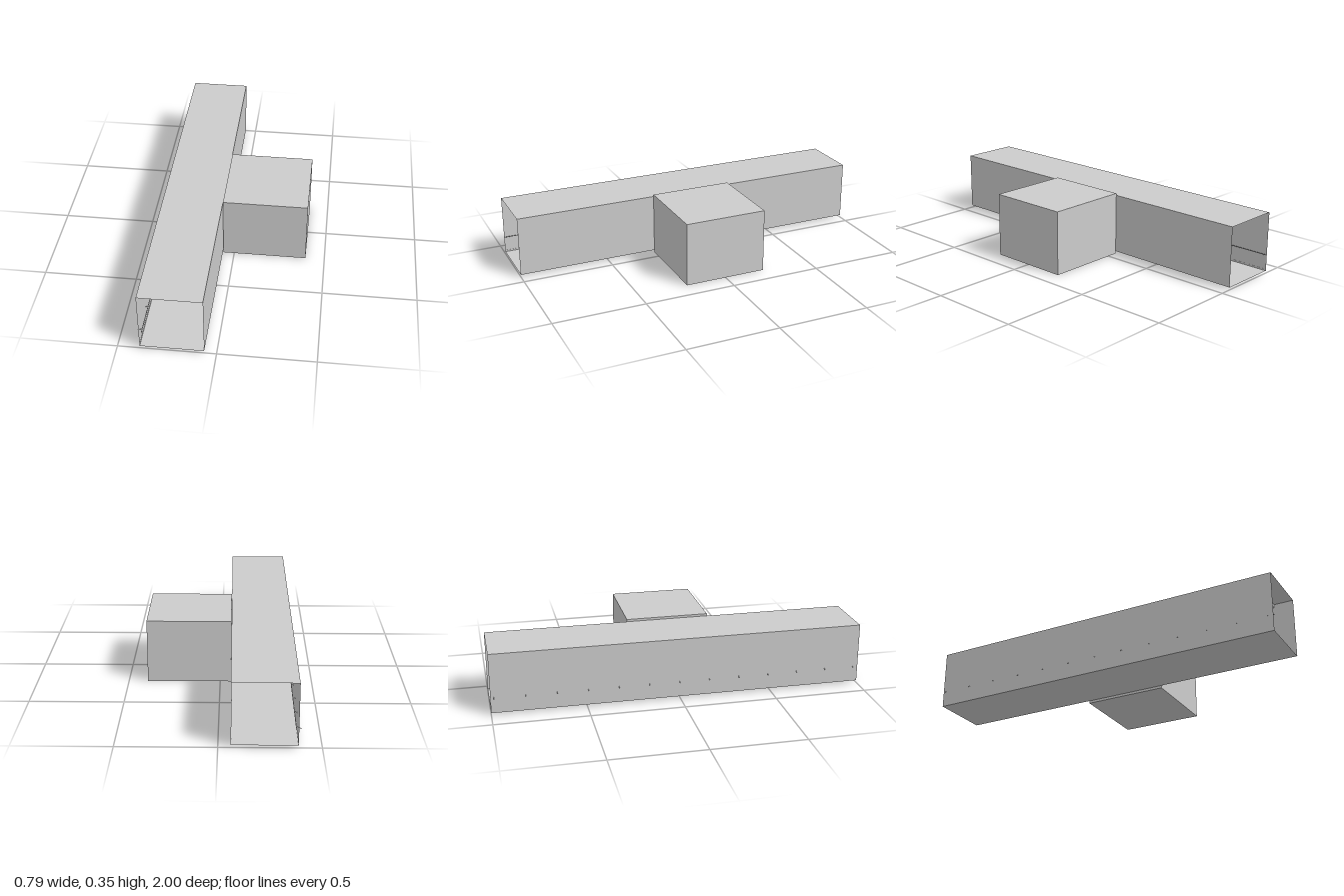
import * as THREE from 'three';

const material = new THREE.MeshStandardMaterial({ color: 0xcccccc, side: THREE.DoubleSide });

// Corridor and room extents
const X0 = -0.387, X1 = -0.062, Y0 = 0.013, Y1 = 0.338, HALF = 1;
const ROOM = { x0: -0.06, x1: 0.396, y0: 0, y1: 0.35, half: 0.226 };
const DOOR = { half: 0.05, height: 0.222 };

function add(parent, name, geometry, x = 0, y = 0, z = 0) {
  const mesh = new THREE.Mesh(geometry, material);
  mesh.name = name;
  mesh.position.set(x, y, z);
  parent.add(mesh);
  return mesh;
}

function rectangle(x0, y0, x1, y1, Type = THREE.Shape) {
  const r = new Type();
  r.moveTo(x0, y0);
  r.lineTo(x1, y0);
  r.lineTo(x1, y1);
  r.lineTo(x0, y1);
  r.closePath();
  return r;
}

// Thin sheet spanning two axes
function sheet(parent, name, w, h, x, y, z, rx = 0, ry = 0) {
  add(parent, name, new THREE.PlaneGeometry(w, h), x, y, z).rotation.set(rx, ry, 0);
}

// Upright wall facing x, pierced by the doorway
function doorwayWall(parent, name, x, half, y0, y1) {
  const shape = rectangle(-half, y0, half, y1);
  shape.holes.push(rectangle(-DOOR.half, Y0 + 0.001, DOOR.half, Y0 + DOOR.height, THREE.Path));
  add(parent, name, new THREE.ShapeGeometry(shape), x).rotation.y = -Math.PI / 2;
}

function createCorridor() {
  const g = new THREE.Group();
  g.name = 'corridor';
  const w = X1 - X0, h = Y1 - Y0, cx = (X0 + X1) / 2, cy = (Y0 + Y1) / 2;
  sheet(g, 'corridorFloor', w, 2 * HALF, cx, Y0, 0, -Math.PI / 2);
  sheet(g, 'corridorCeiling', w, 2 * HALF, cx, Y1, 0, -Math.PI / 2);
  sheet(g, 'outerWall', 2 * HALF, h, X0, cy, 0, 0, -Math.PI / 2);
  doorwayWall(g, 'innerWall', X1, HALF, Y0, Y1);

  // Skirting along the outer wall
  add(g, 'skirting', new THREE.BoxGeometry(0.001, 0.009, 2 * HALF), X0 + 0.0005, Y0 + 0.0045, 0);

  // Ceiling beams, one per bay
  for (let i = 0; i < 8; i++) {
    add(g, 'ceilingBeam', new THREE.BoxGeometry(w, 0.018, 0.04), cx, Y1 - 0.009, -0.875 + i * 0.25);
  }
  return g;
}

function createHandrail() {
  const g = new THREE.Group();
  g.name = 'handrail';
  const rail = new THREE.CylinderGeometry(0.002, 0.002, 2 * HALF, 8).rotateX(Math.PI / 2);
  add(g, 'rail', rail, -0.373, 0.107, 0);

  // Sloping brackets that run through the wall
  const dx = 0.026, dy = 0.013;
  const bracket = new THREE.CylinderGeometry(0.0015, 0.0015, Math.hypot(dx, dy), 8);
  bracket.rotateZ(-Math.atan2(dx, dy));
  for (let i = 0; i < 13; i++) {
    add(g, 'bracket', bracket, -0.385, 0.101, -0.982 + i * 0.1628);
  }
  return g;
}

function createRoom() {
  const g = new THREE.Group();
  g.name = 'room';
  const { x0, x1, y0, y1, half } = ROOM;
  const w = x1 - x0, h = y1 - y0, cx = (x0 + x1) / 2, cy = (y0 + y1) / 2;
  sheet(g, 'roomFloor', w, 2 * half, cx, y0, 0, Math.PI / 2);
  sheet(g, 'roomCeiling', w, 2 * half, cx, y1, 0, -Math.PI / 2);
  sheet(g, 'roomFrontWall', w, h, cx, cy, half);
  sheet(g, 'roomBackWall', w, h, cx, cy, -half, 0, Math.PI);
  sheet(g, 'roomEndWall', 2 * half, h, x1, cy, 0, 0, Math.PI / 2);
  doorwayWall(g, 'roomDoorwayWall', x0, half, y0, y1);
  return g;
}

// Half-open door with a small window, hinged at the local origin
function createDoor() {
  const g = new THREE.Group();
  g.name = 'door';
  const width = 2 * DOOR.half, t = 0.003;
  const shape = rectangle(-width, 0, 0, DOOR.height);
  shape.holes.push(rectangle(-0.066, 0.16, -0.028, 0.172, THREE.Path));
  const leaf = new THREE.ExtrudeGeometry(shape, { depth: t, bevelEnabled: false });
  add(g, 'doorLeaf', leaf, 0, 0, -t / 2);
  for (const side of [-1, 1]) {
    add(g, 'doorHandle', new THREE.SphereGeometry(0.004, 12, 8), -0.092, 0.095, side * 0.005);
  }
  g.position.set(X1, Y0, DOOR.half);
  g.rotation.y = -Math.PI / 4;
  return g;
}

export function createModel() {
  const model = new THREE.Group();
  model.name = 'corridorWithRoom';
  model.add(createCorridor(), createHandrail(), createRoom(), createDoor());
  return model;
}
